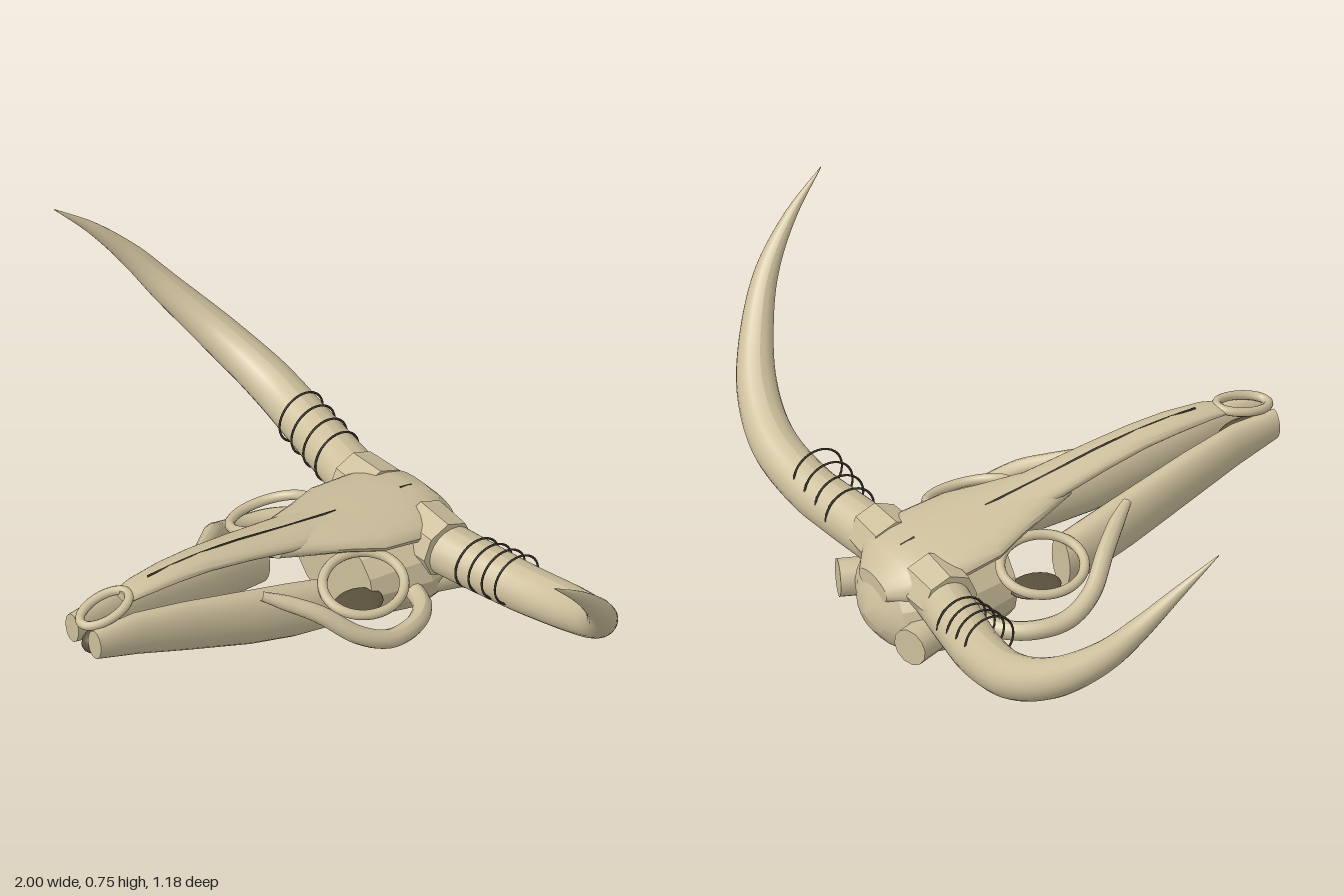
import * as THREE from 'three';
import { toCreasedNormals } from 'three/addons/utils/BufferGeometryUtils.js';

const V = (x, y, z) => new THREE.Vector3(x, y, z);

// Closed loft through elliptical sections [z, centreX, centreY, radiusX, radiusY], front to back
function loft(sections, sides, crease) {
  const pos = [], idx = [], n = sides;
  for (const [z, cx, cy, rx, ry] of sections) {
    for (let j = 0; j < n; j++) {
      const a = (j / n) * Math.PI * 2;
      pos.push(cx + Math.cos(a) * rx, cy + Math.sin(a) * ry, z);
    }
  }
  const last = (sections.length - 1) * n, front = pos.length / 3, back = front + 1;
  for (const s of [sections[0], sections[sections.length - 1]]) pos.push(s[1], s[2], s[0]);
  for (let j = 0; j < n; j++) {
    const k = (j + 1) % n;
    for (let i = 0; i < last; i += n) idx.push(i + j, i + n + j, i + k, i + k, i + n + j, i + n + k);
    idx.push(front, j, k, back, last + k, last + j);
  }
  const g = new THREE.BufferGeometry();
  g.setAttribute('position', new THREE.Float32BufferAttribute(pos, 3));
  g.setIndex(idx);
  return toCreasedNormals(g, crease);
}

// Tube whose radius follows a list matched to the curve's points
function taperedTube(points, radii, segments, sides) {
  const curve = new THREE.CatmullRomCurve3(points);
  const g = new THREE.TubeGeometry(curve, segments, 1, sides, false);
  const p = g.attributes.position, v = V(0, 0, 0);
  for (let i = 0; i <= segments; i++) {
    const t = curve.getUtoTmapping(i / segments) * (radii.length - 1);
    const k = Math.min(Math.floor(t), radii.length - 2);
    const r = THREE.MathUtils.lerp(radii[k], radii[k + 1], t - k);
    const c = curve.getPointAt(i / segments);
    for (let j = 0; j <= sides; j++) {
      const m = i * (sides + 1) + j;
      v.fromBufferAttribute(p, m).sub(c).multiplyScalar(r).add(c);
      p.setXYZ(m, v.x, v.y, v.z);
    }
  }
  g.computeVertexNormals();
  return g;
}

// Closed tube around an ellipse in a tilted horizontal plane
function ellipseRing(cx, cy, cz, rx, rz, slopeX, slopeZ, tube) {
  const pts = [];
  for (let i = 0; i < 16; i++) {
    const a = (i / 16) * Math.PI * 2, x = Math.cos(a) * rx, z = Math.sin(a) * rz;
    pts.push(V(cx + x, cy + x * slopeX + z * slopeZ, cz + z));
  }
  return new THREE.TubeGeometry(new THREE.CatmullRomCurve3(pts, true), 48, tube, 10, true);
}

export function createModel() {
  const group = new THREE.Group();
  const material = (name, color) => {
    const m = new THREE.MeshStandardMaterial({ color });
    m.name = name;
    return m;
  };
  const bone = material('bone', 0xcdbf9c);
  const hollow = material('hollow', 0x5a503c);
  const line = material('darkLine', 0x3a3326);
  const add = (name, geometry, mat = bone) => {
    const m = new THREE.Mesh(geometry, mat);
    m.name = name;
    group.add(m);
    return m;
  };

  // Braincase, cut flat at the front
  add('cranium', loft([
    [-0.235, 0, 0.165, 0.155, 0.125], [-0.31, 0, 0.16, 0.17, 0.143], [-0.4, 0, 0.157, 0.19, 0.157],
    [-0.49, 0, 0.157, 0.175, 0.147], [-0.545, 0, 0.15, 0.125, 0.1], [-0.572, 0, 0.14, 0.07, 0.055],
    [-0.588, 0, 0.135, 0.006, 0.006],
  ], 16, 0.3));

  // Forehead plate
  add('frontalBone', loft([
    [-0.02, 0, 0.345, 0.055, 0.03], [-0.1, 0, 0.333, 0.085, 0.037], [-0.2, 0, 0.315, 0.12, 0.038],
    [-0.28, 0, 0.298, 0.152, 0.045], [-0.4, 0, 0.277, 0.158, 0.05], [-0.47, 0, 0.26, 0.155, 0.055],
    [-0.52, 0, 0.24, 0.13, 0.06], [-0.565, 0, 0.215, 0.07, 0.03],
  ], 24, 0.6));

  // Long arched bridge of the nose
  add('nasalBone', loft([
    [0.45, 0, 0.408, 0.03, 0.012], [0.4, 0, 0.414, 0.038, 0.016], [0.3, 0, 0.413, 0.045, 0.021],
    [0.2, 0, 0.404, 0.05, 0.023], [0.08, 0, 0.383, 0.058, 0.025], [-0.05, 0, 0.355, 0.068, 0.027],
    [-0.18, 0, 0.33, 0.075, 0.027], [-0.3, 0, 0.31, 0.07, 0.025],
  ], 20, 0.8));
  add('nostrilRim', ellipseRing(0, 0.4, 0.507, 0.042, 0.072, 0, -0.22, 0.012));
  const nose = add('nasalCavity', new THREE.SphereGeometry(1, 20, 14), hollow);
  nose.scale.set(0.038, 0.04, 0.07);
  nose.position.set(0, 0.31, 0.505);

  // Seam along the top of the skull
  const seam = [[0.37, 0.434], [0.25, 0.43], [0.1, 0.412], [-0.08, 0.376], [-0.24, 0.347]]
    .map(([z, y]) => V(0, y - 0.001, z));
  add('seam', new THREE.TubeGeometry(new THREE.CatmullRomCurve3(seam), 30, 0.003, 6), line);
  add('rearSeam', new THREE.TubeGeometry(
    new THREE.LineCurve3(V(0, 0.319, -0.445), V(0, 0.309, -0.485)), 1, 0.003, 6), line);

  for (const [side, s] of [['left', 1], ['right', -1]]) {
    // Upper jaw lobe, flat at both ends
    add(side + 'UpperJaw', loft([
      [0.575, s * 0.045, 0.343, 0.026, 0.042], [0.45, s * 0.055, 0.325, 0.032, 0.062],
      [0.3, s * 0.07, 0.285, 0.037, 0.073], [0.12, s * 0.092, 0.237, 0.043, 0.08],
      [0, s * 0.113, 0.215, 0.047, 0.079], [-0.09, s * 0.122, 0.197, 0.046, 0.073],
    ], 20, 0.8));

    // Cheek arch
    const arch = [[0.125, 0.315, 0.1], [0.16, 0.29, 0.05], [0.215, 0.255, -0.015], [0.275, 0.19, -0.09],
      [0.298, 0.152, -0.17], [0.285, 0.142, -0.26], [0.235, 0.14, -0.33], [0.15, 0.14, -0.36]]
      .map(([x, y, z]) => V(s * x, y, z));
    add(side + 'CheekArch', taperedTube(arch, [0.012, 0.02, 0.023, 0.024, 0.025, 0.025, 0.025, 0.025], 40, 12));

    // Eye socket
    add(side + 'SocketRim', ellipseRing(s * 0.185, 0.255, -0.18, 0.088, 0.112, s * -0.36, 0, 0.013));
    const disc = add(side + 'SocketHollow', new THREE.SphereGeometry(1, 20, 12), hollow);
    disc.scale.set(0.055, 0.011, 0.07);
    disc.position.set(s * 0.157, 0.175, -0.185);

    // Stub at the back of the skull
    const condyle = add(side + 'Condyle', new THREE.CylinderGeometry(0.05, 0.05, 0.16, 12));
    const dir = V(s * 0.36, 0, -0.93).normalize();
    condyle.quaternion.setFromUnitVectors(V(0, 1, 0), dir);
    condyle.position.set(s * 0.18, 0.13, -0.562).addScaledVector(dir, -0.08);

    // Horn and its socket
    const boss = add(side + 'HornBase', toCreasedNormals(new THREE.CylinderGeometry(0.078, 0.085, 0.11, 8), 0.3));
    boss.rotation.z = -s * Math.PI / 2;
    boss.position.set(s * 0.135, 0.235, -0.45);
    const horn = [[0.12, 0.225, -0.448], [0.3, 0.228, -0.478], [0.43, 0.235, -0.498], [0.6, 0.272, -0.505],
      [0.75, 0.345, -0.468], [0.87, 0.455, -0.395], [0.93, 0.55, -0.332], [0.972, 0.655, -0.242], [0.999, 0.75, -0.138]]
      .map(([x, y, z]) => V(s * x, y, z));
    add(side + 'Horn', taperedTube(horn, [0.07, 0.067, 0.064, 0.06, 0.052, 0.04, 0.03, 0.016, 0.001], 64, 20));

    // Thin growth rings on the horn
    for (let i = 0; i < 4; i++) {
      const ring = add(side + 'HornRing' + (i + 1), new THREE.TorusGeometry(0.07, 0.003, 6, 32), line);
      ring.rotation.y = Math.PI / 2;
      ring.position.set(s * (0.28 + i * 0.05), 0.237 + i * 0.011, -0.47 - i * 0.002);
    }
  }
  return group;
}
